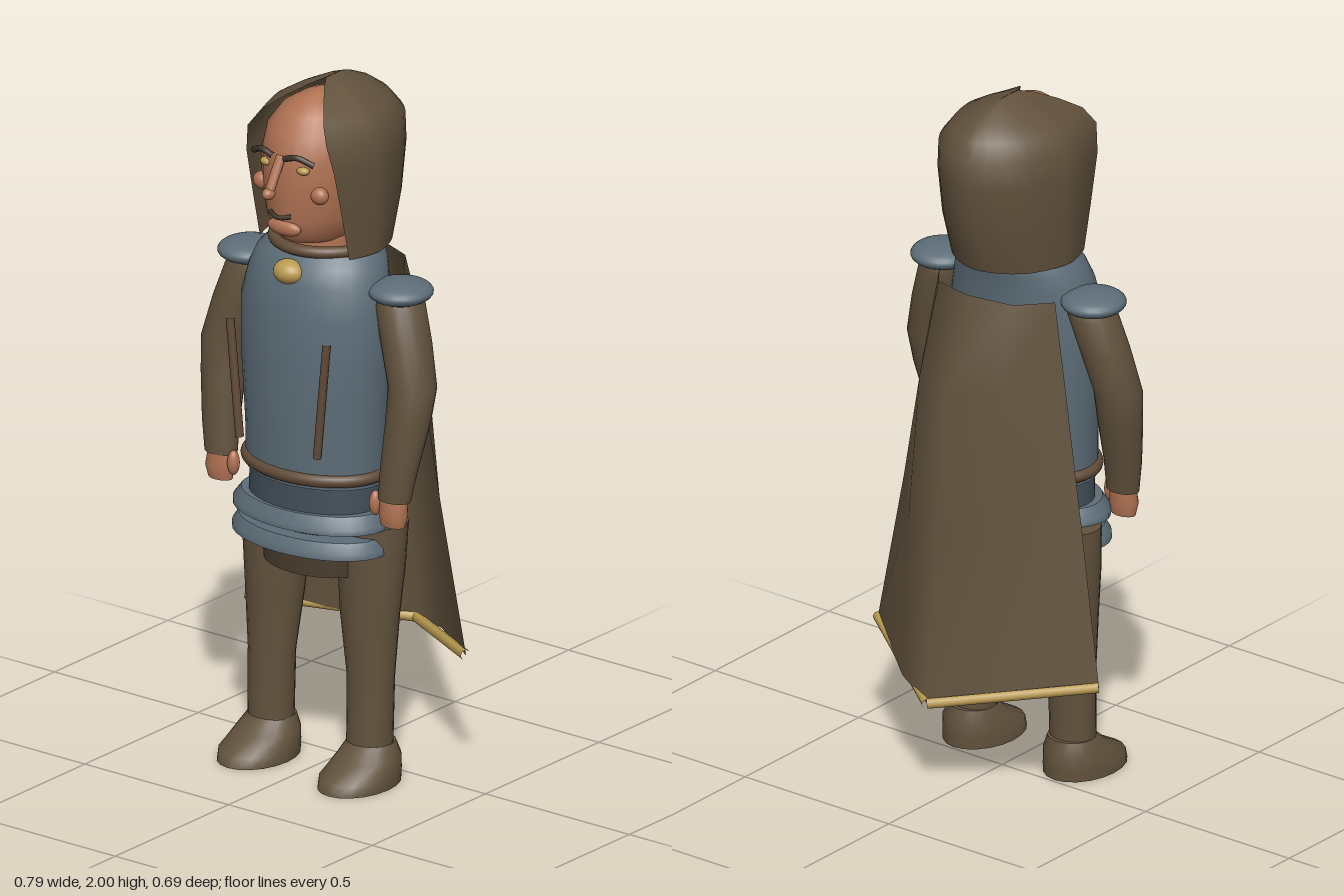
import * as THREE from 'three';

const mat = (name, color, side = THREE.FrontSide) => {
  const m = new THREE.MeshStandardMaterial({ color, side });
  m.name = name;
  return m;
};
const cloth = mat('brown cloth', 0x62523d, THREE.DoubleSide);
const darkCloth = mat('dark brown cloth', 0x4a3d2e);
const steel = mat('blue steel', 0x5d6d78);
const darkSteel = mat('dark steel', 0x434f59);
const skin = mat('skin', 0xb07253);
const gold = mat('gold', 0xb99a50);
const leather = mat('leather', 0x634c39);
const dark = mat('dark hair', 0x40342a);

const V = (x, y, z) => new THREE.Vector3(x, y, z);

// Closed body from elliptical sections [y, cx, cz, rx, rz], listed upwards
function loft(sections, n = 24) {
  const pos = [], idx = [];
  const ring = ([y, cx, cz, rx, rz]) => {
    for (let j = 0; j < n; j++) {
      const a = (j / n) * Math.PI * 2;
      pos.push(cx + rx * Math.cos(a), y, cz + rz * Math.sin(a));
    }
  };
  sections.forEach(ring);
  for (let i = 0; i < sections.length - 1; i++) {
    for (let j = 0; j < n; j++) {
      const a = i * n + j, b = i * n + ((j + 1) % n);
      idx.push(a, a + n, b, b, a + n, b + n);
    }
  }
  for (const top of [false, true]) {
    const s = sections[top ? sections.length - 1 : 0];
    const base = pos.length / 3;
    ring(s);
    pos.push(s[1], s[0], s[2]);
    for (let j = 0; j < n; j++) {
      const a = base + j, b = base + ((j + 1) % n);
      idx.push(base + n, top ? b : a, top ? a : b);
    }
  }
  return surface(pos, idx);
}

// Open sheet through rows of points
function sheet(rows) {
  const pos = [], idx = [], n = rows[0].length;
  rows.flat().forEach((p) => pos.push(p.x, p.y, p.z));
  for (let i = 0; i < rows.length - 1; i++) {
    for (let j = 0; j < n - 1; j++) {
      const a = i * n + j;
      idx.push(a, a + n, a + 1, a + 1, a + n, a + n + 1);
    }
  }
  return surface(pos, idx);
}

function surface(pos, idx) {
  const g = new THREE.BufferGeometry();
  g.setAttribute('position', new THREE.Float32BufferAttribute(pos, 3));
  g.setIndex(idx);
  g.computeVertexNormals();
  return g;
}

const ball = (x, y, z, rx, ry, rz) =>
  new THREE.SphereGeometry(1, 24, 16).scale(rx, ry, rz).translate(x, y, z);

// Elliptical ring around the body
const ring = (y, cz, rx, rz, tube) =>
  new THREE.TorusGeometry(1, tube / rx, 10, 48).rotateX(Math.PI / 2)
    .scale(rx, rx, rz).translate(0, y, cz);

const rod = (points, r) =>
  new THREE.TubeGeometry(new THREE.CatmullRomCurve3(points), 16, r, 8);

// Full row from a half that runs from the +x edge to the centre
const mirrored = (half) => [...half, ...half.slice(0, -1).reverse().map((p) => V(-p.x, p.y, p.z))];

export function createModel() {
  const model = new THREE.Group();
  const add = (name, geometry, material) => {
    const m = new THREE.Mesh(geometry, material);
    m.name = name;
    model.add(m);
  };

  // Breastplate, belt and hip plates
  add('breastplate', loft([
    [0.87, 0, 0.11, 0.215, 0.155], [1.0, 0, 0.112, 0.214, 0.16], [1.2, 0, 0.113, 0.228, 0.163],
    [1.36, 0, 0.11, 0.232, 0.162], [1.45, 0, 0.1, 0.213, 0.155], [1.5, 0, 0.085, 0.194, 0.15],
    [1.53, 0, 0.07, 0.168, 0.14],
  ], 32), steel);
  add('belt', ring(0.897, 0.11, 0.212, 0.157, 0.018), leather);
  add('waistPlate', loft([[0.78, 0, 0.115, 0.205, 0.145], [0.88, 0, 0.115, 0.2, 0.145]], 32), darkSteel);
  add('upperHipPlate', loft([
    [0.748, 0, 0.135, 0.246, 0.152], [0.765, 0, 0.135, 0.246, 0.152], [0.797, 0, 0.13, 0.222, 0.14]], 32), steel);
  add('lowerHipPlate', loft([
    [0.676, 0, 0.137, 0.248, 0.15], [0.695, 0, 0.137, 0.247, 0.149], [0.722, 0, 0.137, 0.228, 0.135]], 32), steel);
  add('tunicSkirt', loft([[0.597, 0, 0.11, 0.162, 0.115], [0.8, 0, 0.11, 0.165, 0.125]]), darkCloth);

  // Collar and brooch
  add('collar', ring(1.54, 0.055, 0.15, 0.155, 0.017), leather);
  add('neck', loft([[1.5, 0, 0.08, 0.11, 0.11], [1.62, 0, 0.08, 0.1, 0.11]]), skin);
  add('brooch', ball(0, 1.48, 0.23, 0.048, 0.035, 0.042), gold);

  // Head
  add('head', loft([
    [1.565, 0, 0.09, 0.09, 0.13], [1.59, 0, 0.09, 0.115, 0.16], [1.64, 0, 0.09, 0.135, 0.174],
    [1.73, 0, 0.09, 0.153, 0.18], [1.81, 0, 0.09, 0.153, 0.18], [1.88, 0, 0.09, 0.14, 0.162],
    [1.93, 0, 0.09, 0.104, 0.122], [1.96, 0, 0.09, 0.055, 0.08], [1.974, 0, 0.09, 0.018, 0.025],
  ], 32), skin);
  add('nose', rod([V(0, 1.83, 0.268), V(0, 1.78, 0.297), V(0, 1.735, 0.322)], 0.014), skin);
  add('noseTip', ball(0, 1.735, 0.323, 0.017, 0.017, 0.021), skin);
  add('lips', ball(0, 1.617, 0.254, 0.056, 0.024, 0.02), skin);
  add('moustache', rod([V(-0.038, 1.66, 0.27), V(0, 1.653, 0.282), V(0.038, 1.66, 0.27)], 0.007), dark);

  // Hood, open at the face: [y, edge x, edge z, side x, back z]
  const hood = [
    [1.53, 0.155, 0.165, 0.178, -0.125], [1.66, 0.155, 0.195, 0.19, -0.168],
    [1.8, 0.152, 0.228, 0.197, -0.192], [1.88, 0.137, 0.242, 0.192, -0.193],
    [1.925, 0.108, 0.218, 0.157, -0.155], [1.96, 0.066, 0.165, 0.1, -0.105],
    [1.987, 0.025, 0.11, 0.045, -0.045], [2.0, 0.0005, 0.07, 0.0005, 0.0],
  ];
  add('hood', sheet(hood.map(([y, ex, ez, sx, bz]) => {
    const sz = Math.min(0.05, (ez + bz) / 2 + 0.03);
    const half = [V(ex, y, ez), V((ex + sx) / 2 + 0.008 * (sx > 0.1), y, (ez + sz) / 2), V(sx, y, sz),
      V(sx * 0.7, y, sz + (bz - sz) * 0.66), V(0, y, bz)];
    return new THREE.CatmullRomCurve3(mirrored(half)).getPoints(32);
  })), cloth);

  // Cape: [y, edge x, edge z, fold x, left fold z, right fold z, centre y and z]
  const capeRows = [
    [1.45, 0.2, -0.02, 0.13, -0.115, -0.115, 1.465, -0.155],
    [1.2, 0.245, -0.03, 0.13, -0.2, -0.17, 1.2, -0.255],
    [0.8, 0.31, -0.04, 0.14, -0.235, -0.175, 0.78, -0.29],
    [0.36, 0.385, -0.06, 0.14, -0.262, -0.208, 0.3, -0.33],
  ].map(([y, sx, sz, qx, lz, rz, cy, cz]) => {
    const qy = cy + (y - cy) * (qx / sx);
    return [V(sx, y, sz), V(qx, qy, lz), V(0, cy, cz), V(-qx, qy, rz), V(-sx, y, sz)];
  });
  add('cape', sheet(capeRows), cloth);
  const hem = capeRows[3];
  for (const s of [0, 2]) {
    add('capeHem', new THREE.TubeGeometry(new THREE.LineCurve3(hem[s], hem[s + 2]), 1, 0.015, 8), gold);
  }

  // Paired parts
  for (const s of [-1, 1]) {
    const side = s > 0 ? 'left' : 'right';
    const limb = (name, sections, material) =>
      add(side + name, loft(sections.map(([y, x, ...r]) => [y, x * s, ...r]), 20), material);

    limb('Leg', [
      [0.09, 0.172, 0.095, 0.067, 0.06], [0.3, 0.172, 0.09, 0.07, 0.06], [0.48, 0.165, 0.085, 0.088, 0.073],
      [0.62, 0.165, 0.078, 0.1, 0.083], [0.75, 0.165, 0.072, 0.104, 0.089],
    ], cloth);
    limb('Shoe', [
      [0, 0.175, 0.145, 0.1, 0.137], [0.03, 0.175, 0.14, 0.1, 0.134],
      [0.07, 0.175, 0.105, 0.088, 0.097], [0.11, 0.173, 0.088, 0.068, 0.066],
    ], cloth);
    limb('Arm', [
      [0.86, 0.302, 0.15, 0.05, 0.037], [0.95, 0.31, 0.14, 0.056, 0.046], [1.08, 0.321, 0.115, 0.064, 0.06],
      [1.18, 0.325, 0.1, 0.068, 0.067], [1.3, 0.291, 0.085, 0.072, 0.07], [1.4, 0.26, 0.072, 0.07, 0.07],
      [1.44, 0.25, 0.07, 0.05, 0.05],
    ], cloth);
    limb('Hand', [
      [0.785, 0.3, 0.155, 0.038, 0.025], [0.82, 0.302, 0.155, 0.044, 0.034], [0.87, 0.3, 0.152, 0.04, 0.03],
    ], skin);
    add(side + 'Thumb', ball(s * 0.247, 0.842, 0.165, 0.017, 0.036, 0.018), skin);
    add(side + 'ShoulderPlate', ball(s * 0.262, 1.438, 0.072, 0.09, 0.034, 0.092), steel);

    // Chest strap
    add(side + 'Strap', rod([V(s * 0.168, 1.32, 0.28), V(s * 0.135, 0.98, 0.28)], 0.012), leather);

    // Face details
    add(side + 'Eye', ball(s * 0.063, 1.795, 0.251, 0.02, 0.012, 0.015), gold);
    add(side + 'Cheek', ball(s * 0.1, 1.723, 0.225, 0.027, 0.025, 0.022), skin);
    add(side + 'Brow', rod([V(s * 0.02, 1.828, 0.278), V(s * 0.06, 1.839, 0.276), V(s * 0.105, 1.82, 0.256)], 0.009), dark);
  }
  return model;
}
